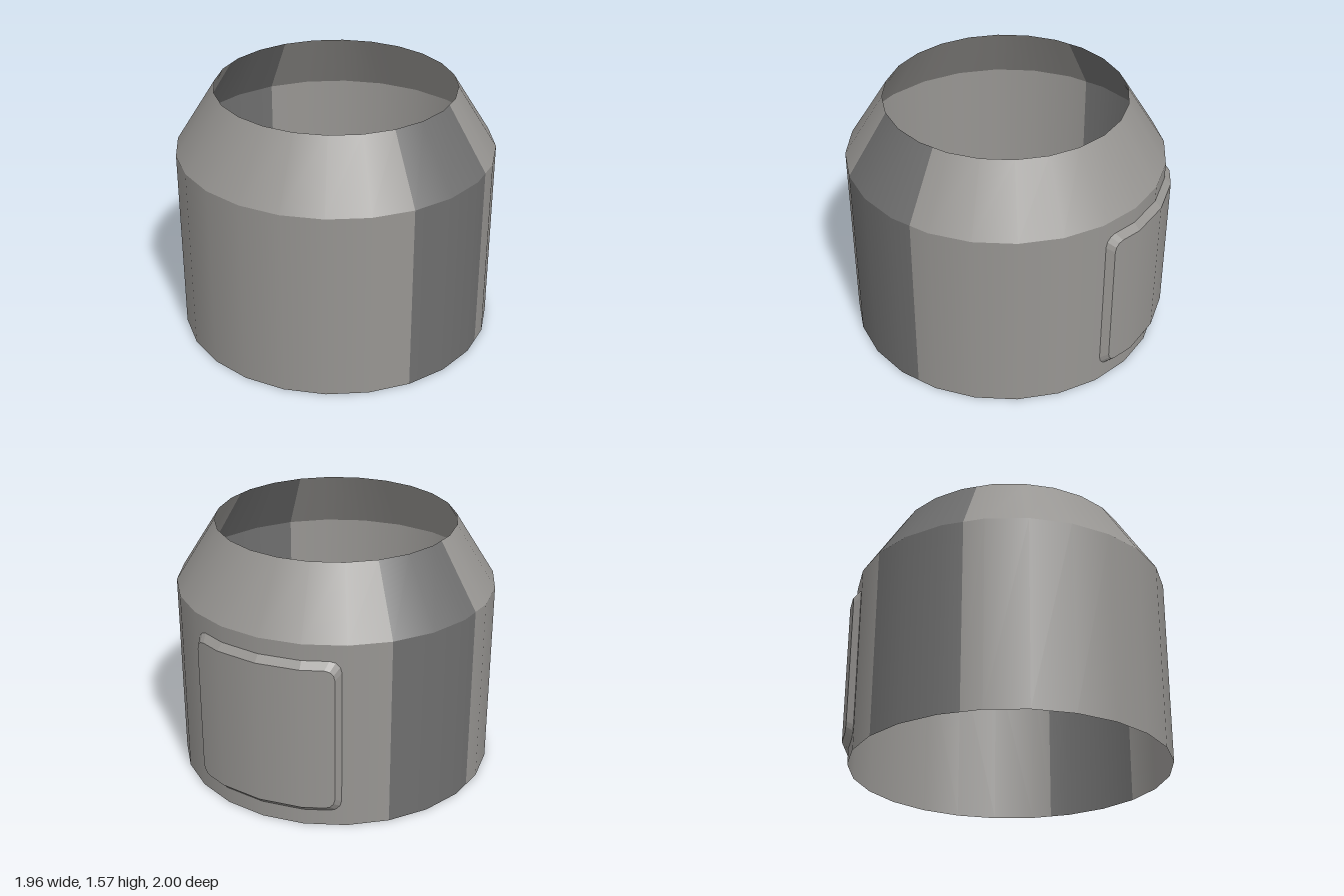
import * as THREE from 'three';

const DEG = Math.PI / 180;
const CENTRE_Z = 0.02;
const STEP = 15; // 24-sided ring

// Point on a 24-sided ring, following the flat chord between corners
function ringPoint(deg, radius, y) {
  const local = (((deg % STEP) + STEP) % STEP) - STEP / 2;
  const r = radius * Math.cos(STEP / 2 * DEG) / Math.cos(local * DEG);
  return [r * Math.cos(deg * DEG), y, r * Math.sin(deg * DEG)];
}

// Curved band of the shell between two angles, with smooth sloped normals
function band(from, to, r0, y0, r1, y1) {
  const angles = [from];
  for (let a = Math.floor(from / STEP + 1) * STEP; a < to; a += STEP) angles.push(a);
  angles.push(to);
  const slope = new THREE.Vector2(y1 - y0, r0 - r1).normalize();
  const pos = [], nor = [], idx = [];
  angles.forEach((a, i) => {
    pos.push(...ringPoint(a, r0, y0), ...ringPoint(a, r1, y1));
    const n = [slope.x * Math.cos(a * DEG), slope.y, slope.x * Math.sin(a * DEG)];
    nor.push(...n, ...n);
    if (i) {
      const k = 2 * (i - 1);
      idx.push(k, k + 1, k + 2, k + 2, k + 1, k + 3);
    }
  });
  const g = new THREE.BufferGeometry();
  g.setAttribute('position', new THREE.Float32BufferAttribute(pos, 3));
  g.setAttribute('normal', new THREE.Float32BufferAttribute(nor, 3));
  g.setIndex(idx);
  return g;
}

// Columns [angle, half height] of a rounded rectangle wrapped on the ring
function panelColumns(halfAngle, halfHeight, corner, radius) {
  const c = corner / radius / DEG;
  const right = [0, 30, 60, 90].map((p) => [
    halfAngle - c + c * Math.sin(p * DEG),
    halfHeight - corner + corner * Math.cos(p * DEG),
  ]);
  const left = right.map(([a, h]) => [-a, h]).reverse();
  return [...left, [-15, halfHeight], [0, halfHeight], [15, halfHeight], ...right];
}

export function createModel() {
  const grey = new THREE.MeshStandardMaterial({ color: 0x979592, side: THREE.DoubleSide });
  grey.name = 'warm grey';
  const dark = new THREE.MeshStandardMaterial({ color: 0x6e6e6e, side: THREE.DoubleSide });
  dark.name = 'dark grey';

  const model = new THREE.Group();
  model.name = 'collar';
  const add = (name, geometry, material) => {
    const mesh = new THREE.Mesh(geometry, material);
    mesh.name = name;
    mesh.position.z = CENTRE_Z;
    model.add(mesh);
  };

  // Open shell: straight wall and tapered shoulder, with two dark stripes
  const sections = [
    ['rightStripe', 7.5, 45, dark],
    ['front', 45, 187.5, grey],
    ['leftStripe', 187.5, 225, dark],
    ['back', 225, 367.5, grey],
  ];
  for (const [name, from, to, material] of sections) {
    add(name + 'Wall', band(from, to, 0.98, 0, 0.98, 1.18), material);
    add(name + 'Shoulder', band(from, to, 0.98, 1.18, 0.735, 1.57), material);
  }

  // Raised back panel: curved face and bevelled rim
  const midY = 0.59;
  const base = panelColumns(28.3, 0.49, 0.07, 0.98);
  const outer = panelColumns(26, 0.45, 0.06, 1.02);

  const facePos = [], faceNor = [], faceIdx = [];
  outer.forEach(([a, h], i) => {
    facePos.push(...ringPoint(270 + a, 1.02, midY - h), ...ringPoint(270 + a, 1.02, midY + h));
    const n = [Math.sin(a * DEG), 0, -Math.cos(a * DEG)];
    faceNor.push(...n, ...n);
    if (i) {
      const k = 2 * (i - 1);
      faceIdx.push(k, k + 1, k + 2, k + 2, k + 1, k + 3);
    }
  });
  const face = new THREE.BufferGeometry();
  face.setAttribute('position', new THREE.Float32BufferAttribute(facePos, 3));
  face.setAttribute('normal', new THREE.Float32BufferAttribute(faceNor, 3));
  face.setIndex(faceIdx);
  add('backPanelFace', face, grey);

  const outline = (cols, r) => [
    ...cols.map(([a, h]) => ringPoint(270 + a, r, midY + h)),
    ...[...cols].reverse().map(([a, h]) => ringPoint(270 + a, r, midY - h)),
  ];
  const low = outline(base, 0.98), high = outline(outer, 1.02);
  const rimPos = [];
  low.forEach((b0, i) => {
    const j = (i + 1) % low.length;
    rimPos.push(...b0, ...low[j], ...high[i], ...low[j], ...high[j], ...high[i]);
  });
  const rim = new THREE.BufferGeometry();
  rim.setAttribute('position', new THREE.Float32BufferAttribute(rimPos, 3));
  rim.computeVertexNormals();
  add('backPanelBevel', rim, grey);

  return model;
}
